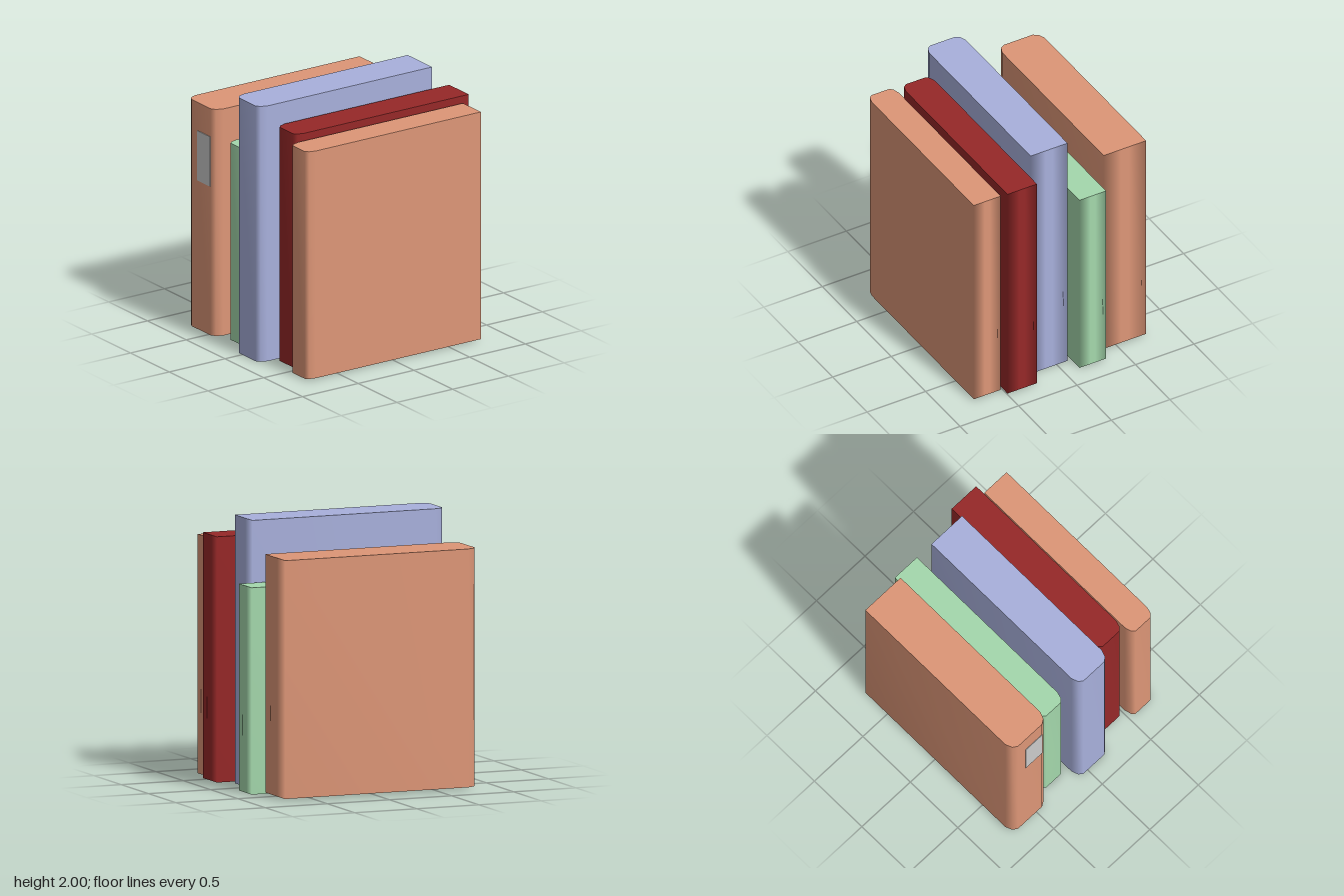
import * as THREE from 'three';
import { mergeGeometries } from 'three/addons/utils/BufferGeometryUtils.js';

// Closed book outline seen from above as [x, z]; rounded spine at x0, page edge at x1
function outline(x0, x1, z0, z1) {
  const w = z1 - z0;
  const spine = [[0.075, 0], [0.023, 0.06], [0, 0.16]];
  return [
    [x1, z1], [x1, z1 - 0.4 * w], [x1, z0 + 0.4 * w], [x1, z0],
    ...spine.map(([dx, f]) => [x0 + dx, z0 + f * w]),
    ...spine.slice().reverse().map(([dx, f]) => [x0 + dx, z1 - f * w]),
  ];
}

// Smooth-shaded wall around the outline
function wall(points, y0, y1) {
  const positions = [], uvs = [], index = [], n = points.length;
  points.forEach(([x, z], i) => {
    positions.push(x, y0, z, x, y1, z);
    uvs.push(i / n, 0, i / n, 1);
    const a = 2 * i, b = 2 * ((i + 1) % n);
    index.push(a, b, a + 1, b, b + 1, a + 1);
  });
  const geo = new THREE.BufferGeometry();
  geo.setAttribute('position', new THREE.Float32BufferAttribute(positions, 3));
  geo.setAttribute('uv', new THREE.Float32BufferAttribute(uvs, 2));
  geo.setIndex(index);
  geo.computeVertexNormals();
  return geo;
}

// Flat top (side = 1) or bottom (side = -1)
function cap(points, y, side) {
  const shape = new THREE.Shape(points.map(([x, z]) => new THREE.Vector2(x, -side * z)));
  return new THREE.ShapeGeometry(shape).rotateX(-side * Math.PI / 2).translate(0, y, 0);
}

function book(name, color, [x0, x1], [y0, y1], [z0, z1]) {
  const points = outline(x0, x1, z0, z1);
  const geo = mergeGeometries([wall(points, y0, y1), cap(points, y1, 1), cap(points, y0, -1)]);
  const mesh = new THREE.Mesh(geo, new THREE.MeshStandardMaterial({ color }));
  mesh.name = name;
  return mesh;
}

export function createModel() {
  const group = new THREE.Group();
  group.name = 'bookRow';

  // Books from front to back: name, colour, x range, y range, z range
  const books = [
    ['frontOrangeBook', 0xdd9677, [-0.78, 0.775], [0.01, 1.79], [0.52, 0.75]],
    ['redBook', 0x962828, [-0.71, 0.84], [0.01, 1.84], [0.248, 0.5]],
    ['blueBook', 0xa8b0dc, [-0.845, 0.705], [0, 2], [-0.093, 0.222]],
    ['greenBook', 0xa4d8ac, [-0.73, 0.825], [0, 1.54], [-0.352, -0.125]],
    ['backOrangeBook', 0xdd9677, [-0.82, 0.73], [0.015, 1.79], [-0.75, -0.387]],
  ];
  for (const b of books) group.add(book(...b));

  // Label on the spine of the thick back book
  const label = new THREE.Mesh(
    new THREE.BoxGeometry(0.01, 0.39, 0.17),
    new THREE.MeshStandardMaterial({ color: 0xcccccc })
  );
  label.name = 'spineLabel';
  label.position.set(-0.819, 1.375, -0.53);
  group.add(label);

  return group;
}
